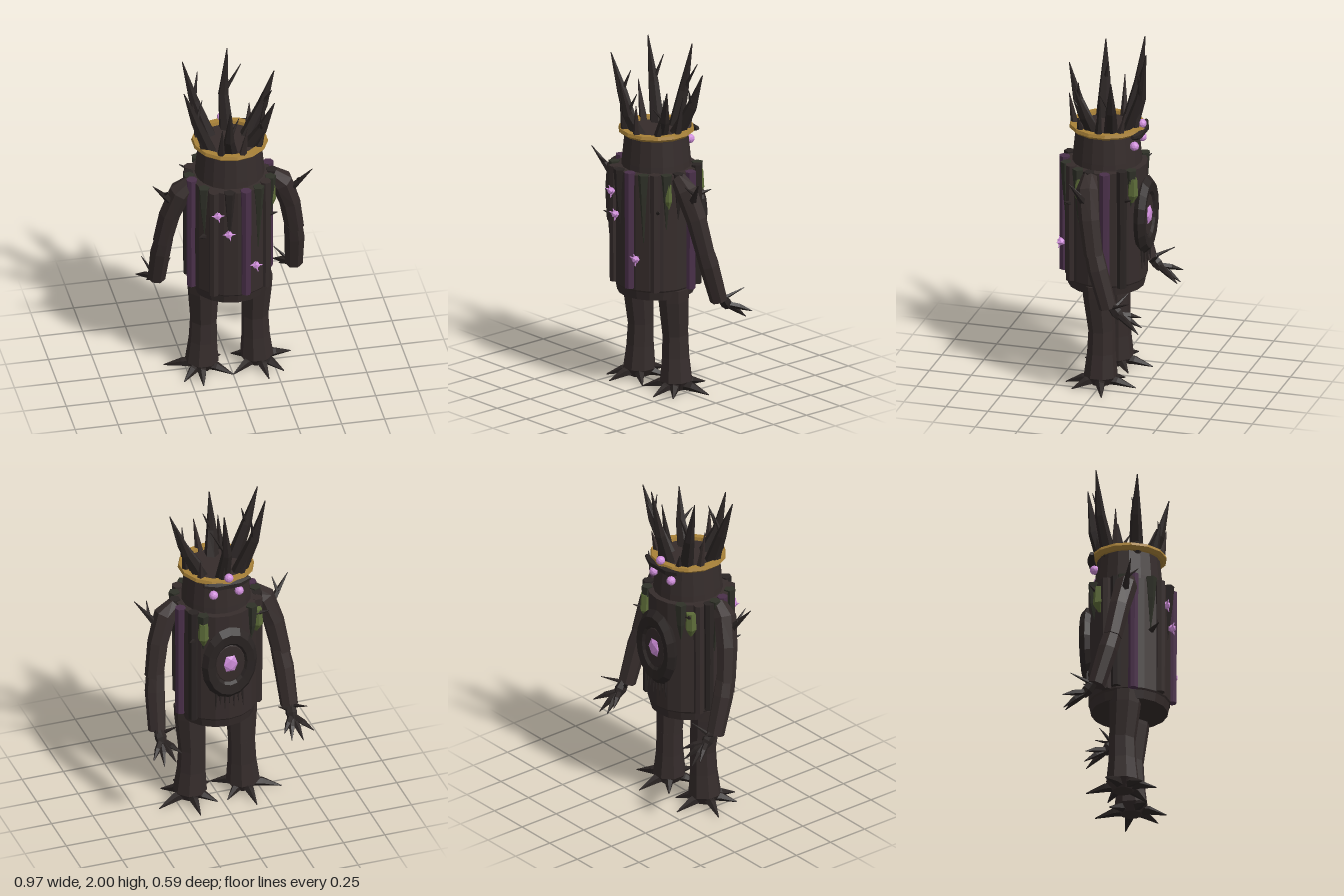
import * as THREE from 'three';

const colour = (name, hex) => {
  const m = new THREE.MeshStandardMaterial({ color: hex });
  m.name = name;
  return m;
};

export function createModel() {
  const model = new THREE.Group();
  model.name = 'treeCreature';
  const bark = colour('bark', 0x352c2b);
  const darkBark = colour('dark bark', 0x2a2423);
  const greenBark = colour('green bark', 0x2f3128);
  const purple = colour('purple bark', 0x4a304a);
  const moss = colour('moss', 0x5c6b38);
  const gold = colour('gold', 0xa88138);
  const gem = colour('violet crystal', 0xd08fdb);
  const V = (p) => new THREE.Vector3(...p);

  // Faceted mesh
  const add = (name, geo, mat, pos = [0, 0, 0], parent = model) => {
    const g = geo.index ? geo.toNonIndexed() : geo;
    g.computeVertexNormals();
    const mesh = new THREE.Mesh(g, mat);
    mesh.name = name;
    mesh.position.set(...pos);
    parent.add(mesh);
    return mesh;
  };

  // Closed tapering tube through points, one radius for each
  const limb = (name, points, radii, mat, sides = 6, parent = model) => {
    const p = points.map(V), n = p.length, verts = [], index = [];
    const whole = p[n - 1].clone().sub(p[0]).normalize();
    const ref = Math.abs(whole.y) > 0.8 ? V([0, 0, 1]) : V([0, 1, 0]);
    p.forEach((c, i) => {
      const t = p[Math.min(i + 1, n - 1)].clone().sub(p[Math.max(i - 1, 0)]).normalize();
      const u = new THREE.Vector3().crossVectors(ref, t).normalize();
      const v = new THREE.Vector3().crossVectors(t, u);
      for (let j = 0; j < sides; j++) {
        const a = (j + 0.5) / sides * Math.PI * 2;
        const q = c.clone().addScaledVector(u, Math.cos(a) * radii[i]).addScaledVector(v, Math.sin(a) * radii[i]);
        verts.push(q.x, q.y, q.z);
      }
    });
    const first = n * sides, last = first + 1, end = (n - 1) * sides;
    verts.push(...points[0], ...points[n - 1]);
    for (let j = 0; j < sides; j++) {
      const k = (j + 1) % sides;
      for (let i = 0; i < n - 1; i++) {
        const a = i * sides + j, b = i * sides + k;
        index.push(a, b, a + sides, b, b + sides, a + sides);
      }
      index.push(first, k, j, last, end + j, end + k);
    }
    const g = new THREE.BufferGeometry();
    g.setAttribute('position', new THREE.Float32BufferAttribute(verts, 3));
    g.setIndex(index);
    return add(name, g, mat, [0, 0, 0], parent);
  };
  const spike = (name, a, b, r, mat = darkBark, parent = model) =>
    limb(name, [a, b], [r, 0.002], mat, 5, parent);
  const lathe = (pts, seg) => new THREE.LatheGeometry(pts.map((q) => new THREE.Vector2(...q)), seg);
  // Point on the trunk; angle in degrees from +z towards +x
  const around = (deg, r, y) => {
    const a = deg * Math.PI / 180;
    return [Math.sin(a) * r, y, 0.02 + Math.cos(a) * r];
  };

  // Trunk and head
  add('trunk', lathe([[0, 0.57], [0.22, 0.57], [0.23, 0.62], [0.236, 0.63], [0.236, 1.32], [0, 1.345]], 18), bark, [0, 0, 0.02]);
  add('head', lathe([[0.2, 1.32], [0.197, 1.36], [0.18, 1.53], [0, 1.53]], 18), bark, [0, 0, 0.015]);
  add('crownBand', lathe([[0.172, 1.515], [0.2, 1.515], [0.22, 1.532], [0.214, 1.55], [0.178, 1.55], [0.172, 1.515]], 14), gold, [0, 0, 0.015]);

  // Long bark ridges
  [[-76, purple], [-34, bark], [11, purple], [104, purple], [48, bark], [-100, darkBark],
    [128, darkBark], [-115, bark]].forEach(([deg, mat], i) => {
    const r = mat === purple ? 0.241 : 0.237, bottom = 0.62 + (i % 3) * 0.01;
    limb('barkRidge', [around(deg, r, bottom), around(deg, r + 0.003, 0.95), around(deg, r, 1.335 - (i % 2) * 0.012)],
      [0.029, 0.028, 0.032], mat, 7);
  });

  // Hanging bark shards
  [[-12, 1.0], [32, 0.92], [64, 1.0], [-50, 1.02], [82, 1.05], [-90, 1.0], [143, 1.1], [-140, 1.1]].forEach(([deg, low], i) =>
    limb('barkShard', [around(deg, 0.233, low), around(deg, 0.24, 1.2), around(deg, 0.238, 1.33)],
      [0.003, 0.022, 0.034], i % 4 ? greenBark : darkBark, 5));

  // Moss patches
  [[144, 1.215, 0.032], [-126, 1.215, 0.034], [66, 1.21, 0.022]].forEach(([deg, y, r]) =>
    limb('mossPatch', [around(deg, 0.24, y - 0.085), around(deg, 0.248, y - 0.035), around(deg, 0.246, y + 0.065)],
      [0.008, r, r * 0.85], moss, 6));

  // Trunk thorns
  [[130, 1.15, 0.32], [-130, 1.25, 0.32], [50, 1.1, 0.3], [-50, 1.0, 0.3]].forEach(([deg, y, r]) =>
    spike('trunkThorn', around(deg, 0.235, y), around(deg + 3, r, y + 0.03), 0.018));

  // Crystals with small shards on the trunk
  [[-27, 1.18], [-13, 1.06], [23, 0.825]].forEach(([deg, y]) => {
    const c = around(deg, 0.262, y);
    add('crystal', new THREE.IcosahedronGeometry(0.024), gem, c);
    [[-0.037, 0.01], [0.037, 0.005], [0.01, -0.037], [-0.005, 0.035]].forEach(([dx, dy]) =>
      spike('crystalShard', c, [c[0] + dx, c[1] + dy, c[2] + 0.012], 0.01, gem));
  });

  // Oval shield with a central crystal
  const disc = lathe([[0.15, 0], [0.168, 0.03], [0.142, 0.064], [0.1, 0.058], [0.088, 0.044], [0, 0.044]], 16);
  disc.rotateX(-Math.PI / 2).scale(1, 1.4, 1);
  add('backShield', disc, darkBark, [0, 1.01, -0.185]);
  const core = lathe([[0.09, 0], [0.084, 0.004], [0, 0.005]], 16).rotateX(-Math.PI / 2).scale(1, 1.4, 1);
  add('shieldHollow', core, bark, [0, 1.01, -0.228]);
  add('shieldCrystal', new THREE.IcosahedronGeometry(1).scale(0.048, 0.06, 0.018), gem, [0, 1.01, -0.232]);
  for (let i = -3; i <= 3; i++)
    spike('shieldRoot', [i * 0.026, 0.82, -0.212], [i * 0.028, 0.735 - (i & 1) * 0.03, -0.217], 0.009);

  // Eyes and brow
  [[0.08, 1.452, -0.17], [-0.075, 1.452, -0.17], [-0.005, 1.562, -0.19]].forEach((p) =>
    add('eye', new THREE.IcosahedronGeometry(0.027, 1), gem, p));
  limb('brow', [[0.14, 1.528, -0.175], [0.07, 1.515, -0.19], [-0.07, 1.515, -0.19], [-0.14, 1.528, -0.175]],
    [0.012, 0.024, 0.024, 0.012], darkBark, 6);

  // Crown horns: base, bend, tip, then the end of a twig
  [
    [[0.01, 1.51, -0.12], [0.005, 1.72, -0.185], [0.035, 2.0, -0.225], [0.11, 1.9, -0.2]],
    [[-0.1, 1.51, -0.08], [-0.18, 1.74, -0.12], [-0.245, 2.0, -0.135], [-0.15, 1.9, -0.17]],
    [[0.11, 1.51, -0.04], [0.21, 1.7, -0.07], [0.28, 1.9, -0.09], [0.25, 1.82, -0.01]],
    [[0.1, 1.51, 0.07], [0.17, 1.64, 0.1], [0.235, 1.83, 0.14], [0.15, 1.72, 0.17]],
    [[-0.13, 1.51, 0.08], [-0.21, 1.72, 0.09], [-0.285, 1.94, 0.11], [-0.17, 1.85, 0.06]],
    [[-0.015, 1.51, 0.13], [-0.04, 1.65, 0.2], [-0.045, 1.87, 0.255], [0.02, 1.78, 0.18]],
  ].forEach(([base, mid, tip, twig]) => {
    limb('crownHorn', [base, mid, tip], [0.044, 0.031, 0.003], darkBark, 6);
    spike('crownTwig', mid, twig, 0.015);
  });
  for (let i = 0; i < 9; i++) {
    const deg = i * 40 + 12, h = [0.2, 0.1, 0.24, 0.14][i % 4];
    spike('crownSpike', around(deg, 0.18, 1.53), around(deg + 5, 0.212, 1.53 + h), 0.025, i % 3 ? darkBark : bark);
  }

  // Arms and legs, mirrored left and right
  [1, -1].forEach((s) => {
    const side = s > 0 ? 'left' : 'right';
    const m = ([x, y, z]) => [s * x, y, z];
    const arm = new THREE.Group();
    arm.name = side + 'Arm';
    model.add(arm);
    limb('upperArm', [[0.23, 1.3, 0.05], [0.295, 1.24, 0.045], [0.35, 1.08, 0.015], [0.385, 0.88, -0.02]].map(m),
      [0.045, 0.067, 0.062, 0.056], bark, 7, arm);
    limb('forearm', [[0.375, 0.91, -0.015], [0.39, 0.8, -0.045], [0.4, 0.575, -0.11]].map(m),
      [0.054, 0.059, 0.052], bark, 7, arm);
    limb('palm', [[0.4, 0.6, -0.12], [0.395, 0.55, -0.16], [0.395, 0.52, -0.185]].map(m),
      [0.025, 0.035, 0.025], darkBark, 6, arm);
    [[0.31, 0.5, -0.28], [0.35, 0.455, -0.295], [0.42, 0.44, -0.295], [0.485, 0.49, -0.29]].forEach((tip) => {
      const mid = [(tip[0] + 0.395) / 2, (tip[1] + 0.55) / 2, (tip[2] - 0.17) / 2];
      limb('finger', [[0.395, 0.54, -0.165], mid, tip].map(m), [0.019, 0.018, 0.002], darkBark, 5, arm);
    });
    spike('thumb', m([0.39, 0.56, -0.13]), m([0.3, 0.635, -0.2]), 0.016, darkBark, arm);
    spike('wristThorn', m([0.41, 0.58, -0.13]), m([0.46, 0.635, -0.25]), 0.014, darkBark, arm);
    spike('shoulderThorn', m([0.33, 1.16, 0.04]), m([0.465, 1.33, 0.1]), 0.028, darkBark, arm);
    spike('shoulderTwig', m([0.39, 1.24, 0.06]), m([0.38, 1.3, 0.13]), 0.012, darkBark, arm);

    const leg = new THREE.Group();
    leg.name = side + 'Leg';
    model.add(leg);
    limb('thigh', [[0.155, 0.62, 0.022], [0.155, 0.55, 0.019], [0.15, 0.33, 0.002]].map(m),
      [0.093, 0.091, 0.077], bark, 8, leg);
    limb('shin', [[0.15, 0.345, 0.002], [0.154, 0.2, 0.004], [0.16, 0.06, 0.006], [0.16, 0.01, 0.006]].map(m),
      [0.077, 0.082, 0.097, 0.06], bark, 8, leg);
    // Root toes
    [[0.37, -0.06], [0.29, 0.14], [0.19, 0.205], [0.0, 0.12], [0.03, -0.1], [0.17, -0.205]].forEach(([x, z]) =>
      limb('rootToe', [[0.165, 0.045, 0.01], [(x + 0.165) / 2, 0.036, (z + 0.01) / 2], [x, 0.006, z]].map(m),
        [0.036, 0.026, 0.003], darkBark, 5, leg));
  });
  return model;
}
